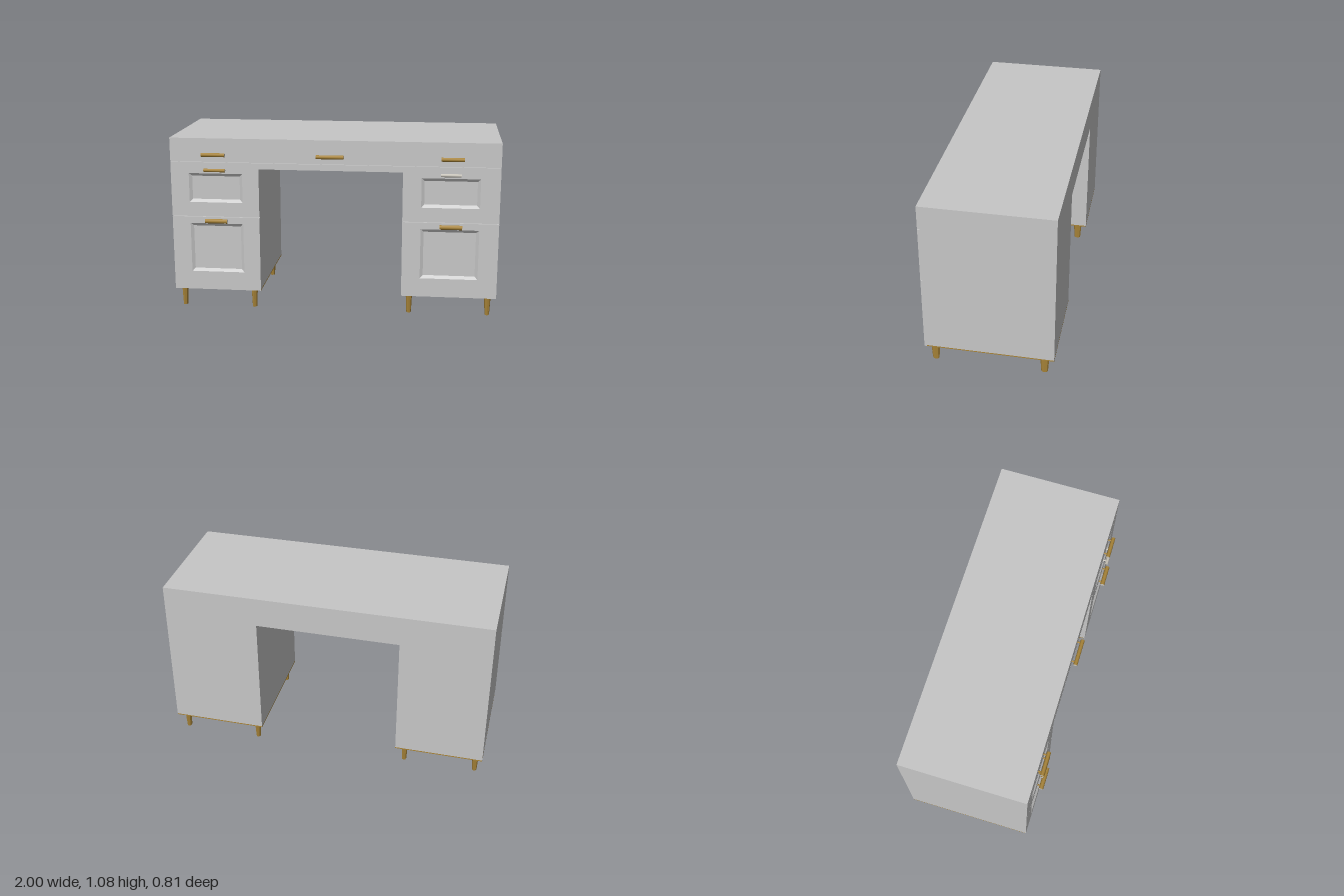
import * as THREE from 'three';

const mat = (name, color) => Object.assign(new THREE.MeshStandardMaterial({ color }), { name });

export function createModel() {
  const paint = mat('grey paint', 0xc6c6c6);
  const brass = mat('brass', 0xa88438);
  const silver = mat('pale metal', 0xc9c5bb);
  const dark = mat('dark underside', 0x75706b);
  const desk = new THREE.Group();
  desk.name = 'desk';

  const add = (name, geo, material, x = 0, y = 0, z = 0, parent = desk) => {
    const m = new THREE.Mesh(geo, material);
    m.name = name;
    m.position.set(x, y, z);
    parent.add(m);
    return m;
  };
  const poly = (pts) => new THREE.Shape(pts.map(([x, y]) => new THREE.Vector2(x, y)));
  const rect = (x0, y0, x1, y1) => [[x0, y0], [x1, y0], [x1, y1], [x0, y1]];
  const slab = (shape, depth) => new THREE.ExtrudeGeometry(shape, { depth, bevelEnabled: false });

  const back = -0.405, face = 0.365, thick = 0.014, inner = face - thick;
  const base = 0.12, top = 1.08, kneeTop = 0.895, seam = 0.935, split = 0.592, gap = 0.003;

  // Carcass: an arch-shaped outline around the knee space
  add('carcass', slab(poly([
    [-1, base + 0.007], [-0.455, base + 0.007], [-0.455, kneeTop], [0.42, kneeTop],
    [0.42, base + 0.007], [1, base + 0.007], [1, top], [-1, top],
  ]), inner - back), paint, 0, 0, back);

  // Front apron above the seam, and the rail over the knee space
  add('apron', slab(poly(rect(-1, seam + gap, 1, top)), thick), paint, 0, 0, inner);
  add('kneeRail', slab(poly(rect(-0.455, kneeTop, 0.42, seam - gap)), thick), paint, 0, 0, inner);

  // Sloped frame running from the drawer face down to the sunken panel
  const slopedFrame = (outer, sunk) => {
    const pos = [];
    for (let i = 0; i < 4; i++) {
      const j = (i + 1) % 4;
      const a = [...outer[i], face], b = [...outer[j], face];
      const c = [...sunk[j], inner + 0.001], d = [...sunk[i], inner + 0.001];
      pos.push(...a, ...b, ...c, ...a, ...c, ...d);
    }
    const g = new THREE.BufferGeometry();
    g.setAttribute('position', new THREE.Float32BufferAttribute(pos, 3));
    g.computeVertexNormals();
    return g;
  };

  const drawer = (name, x0, y0, x1, y1, px0, py0, px1, py1) => {
    const e = 0.018;
    const outer = rect(px0 - e, py0 - e, px1 + e, py1 + e);
    const shape = poly(rect(x0, y0, x1, y1));
    shape.holes.push(poly(outer));
    add(name + 'Front', slab(shape, thick), paint, 0, 0, inner);
    add(name + 'Moulding', slopedFrame(outer, rect(px0, py0, px1, py1)), paint);
  };

  // Pedestals: two panelled drawers each, underside and four legs
  const pedestals = [
    { side: 'right', x0: -1, x1: -0.455, px: [-0.87, -0.575], legs: [-0.953, -0.505] },
    { side: 'left', x0: 0.42, x1: 1, px: [0.55, 0.865], legs: [0.467, 0.95] },
  ];
  const legGeo = new THREE.CylinderGeometry(1, 0.72, base, 8).toNonIndexed();
  legGeo.scale(0.02, 1, 0.028);
  legGeo.computeVertexNormals();

  for (const { side, x0, x1, px, legs } of pedestals) {
    drawer(side + 'UpperDrawer', x0, split + gap, x1, seam - gap, px[0], 0.70, px[1], 0.845);
    drawer(side + 'LowerDrawer', x0, base, x1, split - gap, px[0], 0.255, px[1], 0.53);
    // Brass edge on the sides and back, dark below
    add(side + 'Underside', new THREE.BoxGeometry(x1 - x0, 0.007, face - back - 0.002),
      [brass, brass, paint, dark, brass, brass],
      (x0 + x1) / 2, base + 0.0035, (face + back) / 2 - 0.001);
    for (const x of legs)
      for (const z of [0.312, -0.343]) add(side + 'Leg', legGeo, brass, x, base / 2, z);
  }

  // Bar handles on two short posts, with pale end caps
  const handle = (name, x0, x1, y, r, bar = brass) => {
    const g = new THREE.Group();
    g.name = name;
    g.position.set((x0 + x1) / 2, y, 0);
    desk.add(g);
    const len = x1 - x0, z = 0.393;
    const rod = new THREE.CylinderGeometry(r, r, len, 8).rotateZ(Math.PI / 2);
    add('bar', rod, [bar, silver, silver], 0, 0, z, g);
    const post = new THREE.CylinderGeometry(0.005, 0.005, z - face, 8).rotateX(Math.PI / 2);
    for (const s of [-1, 1]) add('post', post, bar, s * (len / 2 - 0.02), 0, (z + face) / 2, g);
  };
  handle('rightTopHandle', -0.8, -0.655, 0.983, 0.012);
  handle('centreHandle', -0.1, 0.067, 0.983, 0.012);
  handle('leftTopHandle', 0.645, 0.782, 0.983, 0.012);
  handle('rightUpperHandle', -0.787, -0.655, 0.888, 0.01);
  handle('leftUpperHandle', 0.645, 0.767, 0.888, 0.01, silver);
  handle('rightLowerHandle', -0.787, -0.65, 0.57, 0.014);
  handle('leftLowerHandle', 0.645, 0.78, 0.57, 0.014);

  return desk;
}
